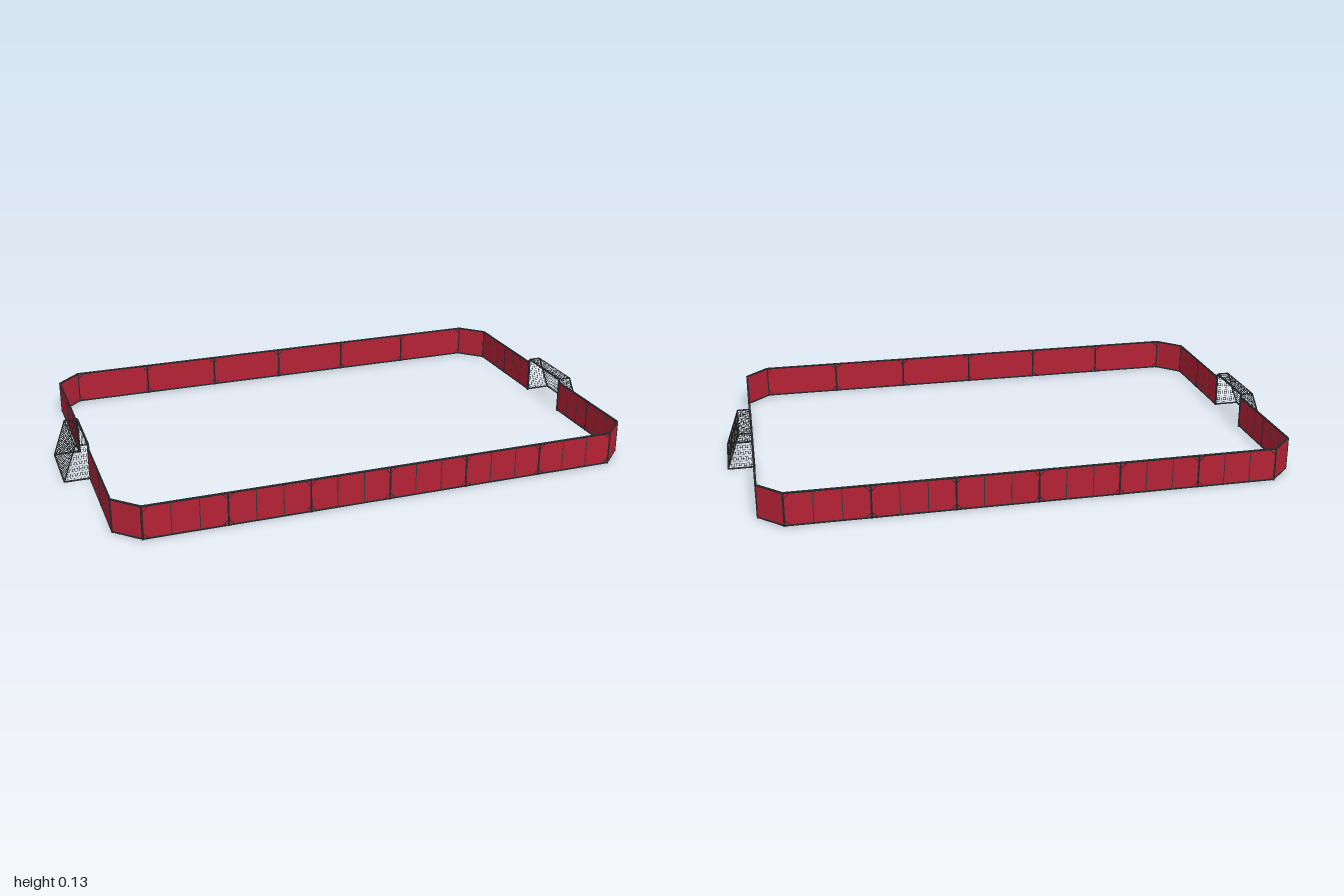
import * as THREE from 'three';
import { mergeGeometries } from 'three/addons/utils/BufferGeometryUtils.js';

const material = (name, color) => {
  const m = new THREE.MeshStandardMaterial({ color });
  m.name = name;
  return m;
};

const V = (x, y, z) => new THREE.Vector3(x, y, z);

// Straight round bar between two points
function bar(a, b, radius, sides = 6) {
  const dir = b.clone().sub(a);
  const g = new THREE.CylinderGeometry(radius, radius, dir.length(), sides);
  g.applyQuaternion(new THREE.Quaternion().setFromUnitVectors(V(0, 1, 0), dir.normalize()));
  const mid = a.clone().add(b).multiplyScalar(0.5);
  return g.translate(mid.x, mid.y, mid.z);
}

export function createModel() {
  const red = material('panel red', 0xb52236);
  const dark = material('frame black', 0x22282b);
  const grey = material('seam grey', 0x35393c);
  const netMat = material('net black', 0x1c1c1c);
  const H = 0.118;

  const add = (parent, name, geometry, mat) => {
    const mesh = new THREE.Mesh(geometry, mat);
    mesh.name = name;
    parent.add(mesh);
    return mesh;
  };

  // One fence panel from a to b with rails, posts, seams and corner braces
  function fencePanel(a, b) {
    const g = new THREE.Group();
    g.name = 'fencePanel';
    const dx = b[0] - a[0], dz = b[1] - a[1], L = Math.hypot(dx, dz), h = L / 2;
    g.position.set((a[0] + b[0]) / 2, 0, (a[1] + b[1]) / 2);
    g.rotation.y = -Math.atan2(dz, dx);
    add(g, 'board', new THREE.BoxGeometry(L, H - 0.008, 0.003).translate(0, H / 2, 0), red);

    const frame = [
      bar(V(-h, 0.004, 0), V(h, 0.004, 0), 0.0035),
      bar(V(-h, H - 0.002, 0), V(h, H - 0.002, 0), 0.0035),
    ];
    for (const s of [-1, 1]) {
      frame.push(bar(V(s * h, 0, 0), V(s * h, H, 0), 0.0035));
      if (L > 0.15) {
        frame.push(bar(V(s * h, 0.024, 0), V(s * (h - 0.02), 0.004, 0), 0.0022));
        frame.push(bar(V(s * h, H - 0.024, 0), V(s * (h - 0.02), H - 0.004, 0), 0.0022));
      }
    }
    add(g, 'frame', mergeGeometries(frame), dark);

    // Seams divide each board into thirds
    if (L > 0.15) {
      const inner = L < 0.25; // short side boards show seams on both faces
      for (const s of [-1, 1]) {
        add(g, 'seam', new THREE.BoxGeometry(0.003, H - 0.008, inner ? 0.0045 : 0.002)
          .translate(s * L / 6, H / 2, inner ? 0 : 0.0013), grey);
      }
    }
    return g;
  }

  // Goal section: x outward from the fence line
  const W = 0.118, X0 = 0.904, X1 = 0.948, X2 = 0.993, TOP = 0.13, FLOOR = 0.004;

  function goal() {
    const g = new THREE.Group();
    g.name = 'goal';

    // Front arch with rounded upper corners
    const r = 0.008;
    const arch = new THREE.CurvePath();
    arch.add(new THREE.LineCurve3(V(X0, 0, W), V(X0, TOP - r, W)));
    arch.add(new THREE.QuadraticBezierCurve3(V(X0, TOP - r, W), V(X0, TOP, W), V(X0, TOP, W - r)));
    arch.add(new THREE.LineCurve3(V(X0, TOP, W - r), V(X0, TOP, r - W)));
    arch.add(new THREE.QuadraticBezierCurve3(V(X0, TOP, r - W), V(X0, TOP, -W), V(X0, TOP - r, -W)));
    arch.add(new THREE.LineCurve3(V(X0, TOP - r, -W), V(X0, 0, -W)));
    add(g, 'goalPosts', new THREE.TubeGeometry(arch, 100, 0.0042, 6), dark);

    // Rear frame: roof edge, sloping stays and ground bar
    const frame = [
      bar(V(X1, TOP, -W), V(X1, TOP, W), 0.002),
      bar(V(X2, FLOOR, -W), V(X2, FLOOR, W), 0.003),
    ];
    for (const z of [-W, W]) {
      frame.push(bar(V(X0, TOP, z), V(X1, TOP, z), 0.0025));
      frame.push(bar(V(X1, TOP, z), V(X2, FLOOR, z), 0.0025));
      frame.push(bar(V(X0, FLOOR, z), V(X2, FLOOR, z), 0.003));
    }
    add(g, 'goalFrame', mergeGeometries(frame), dark);

    // Fine net over roof, sloping back and both sides
    const net = [];
    const strand = (a, b) => net.push(bar(a, b, 0.0005, 3));
    const step = 0.0085;
    const across = Math.round(2 * W / step), up = Math.round((TOP - FLOOR) / step);
    for (let i = 1; i < across; i++) {
      const z = -W + 2 * W * i / across;
      strand(V(X0, TOP, z), V(X1, TOP, z));
      strand(V(X1, TOP, z), V(X2, FLOOR, z));
    }
    for (let i = 1; i < 5; i++) {
      const x = X0 + (X1 - X0) * i / 5;
      strand(V(x, TOP, -W), V(x, TOP, W));
    }
    for (let i = 1; i < up; i++) {
      const t = i / up, y = FLOOR + (TOP - FLOOR) * t, x = X2 + (X1 - X2) * t;
      strand(V(x, y, -W), V(x, y, W));
      for (const z of [-W, W]) strand(V(X0, y, z), V(x, y, z));
    }
    for (let x = X0 + step; x < X2 - 0.002; x += step) {
      const y = x < X1 ? TOP : FLOOR + (TOP - FLOOR) * (X2 - x) / (X2 - X1);
      for (const z of [-W, W]) strand(V(x, FLOOR, z), V(x, y, z));
    }
    add(g, 'net', mergeGeometries(net), netMat);
    return g;
  }

  // Half the pitch: one long side, two corners, one short side with its goal
  function half() {
    const g = new THREE.Group();
    g.name = 'pitchHalf';
    const runs = [[], [[0.905, -0.12], [0.905, -0.325], [0.905, -0.525], [0.825, -0.605]]];
    for (let i = 0; i <= 6; i++) runs[0].push([-0.825 + 0.275 * i, 0.605]);
    runs[0].push([0.905, 0.525], [0.905, 0.325], [0.905, 0.12]);
    for (const run of runs) {
      for (let i = 1; i < run.length; i++) g.add(fencePanel(run[i - 1], run[i]));
    }
    g.add(goal());
    return g;
  }

  const model = new THREE.Group();
  model.name = 'fencedPitch';
  const other = half();
  other.rotation.y = Math.PI;
  model.add(half(), other);
  return model;
}
